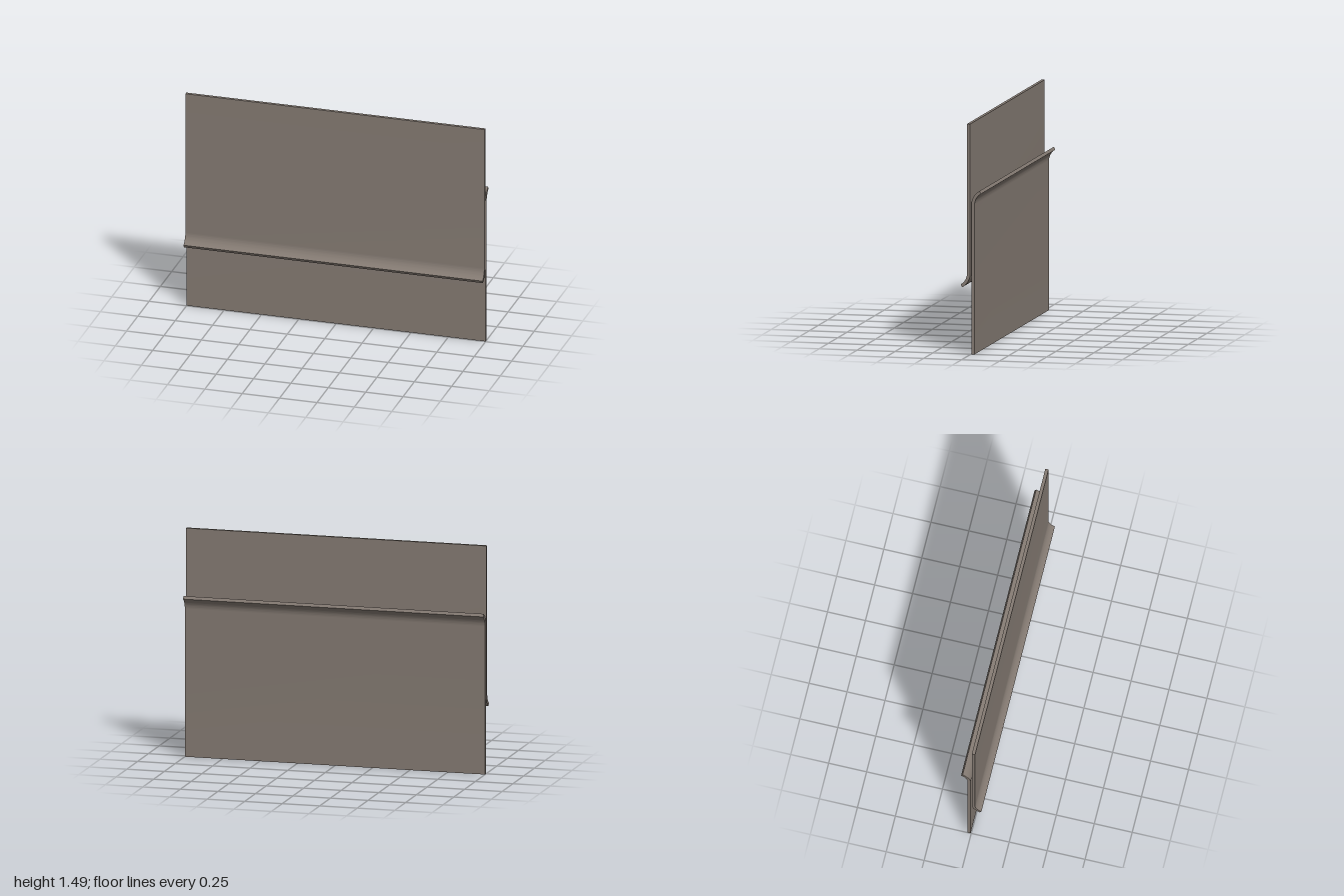
import * as THREE from 'three';
import { toCreasedNormals } from 'three/addons/utils/BufferGeometryUtils.js';

const WIDTH = 2, HEIGHT = 1.49;
const BACK = 0.004, FACE = 0.025; // z of the two faces of the front sheet
const RADIUS = 0.084, BEND_Y = 0.523, BEND = Math.PI / 3;

// Side profile of a flat sheet whose lower edge curls outward
function sheetGeometry() {
  const cz = FACE + RADIUS;
  const profile = new THREE.Shape();
  profile.moveTo(FACE, HEIGHT);
  profile.lineTo(BACK, HEIGHT);
  profile.lineTo(BACK, BEND_Y);
  profile.absarc(cz, BEND_Y, cz - BACK, Math.PI, Math.PI + BEND, false);
  profile.absarc(cz, BEND_Y, RADIUS, Math.PI + BEND, Math.PI, true);
  profile.closePath();
  const geometry = new THREE.ExtrudeGeometry(profile, { depth: WIDTH, bevelEnabled: false, curveSegments: 16 });
  geometry.translate(0, 0, -WIDTH / 2);
  geometry.rotateY(-Math.PI / 2);
  return toCreasedNormals(geometry, 0.5);
}

export function createModel() {
  const model = new THREE.Group();
  model.name = 'overlappingSheets';
  const metal = new THREE.MeshStandardMaterial({ color: 0x857b73 });
  metal.name = 'warm grey metal';
  const geometry = sheetGeometry();

  // Upper sheet, curled forward at the bottom
  const front = new THREE.Mesh(geometry, metal);
  front.name = 'frontSheet';

  // Lower sheet: the same part turned half a turn, curled backward at the top
  const back = new THREE.Mesh(geometry, metal);
  back.name = 'backSheet';
  back.rotation.x = Math.PI;
  back.position.y = HEIGHT;

  model.add(front, back);
  return model;
}
